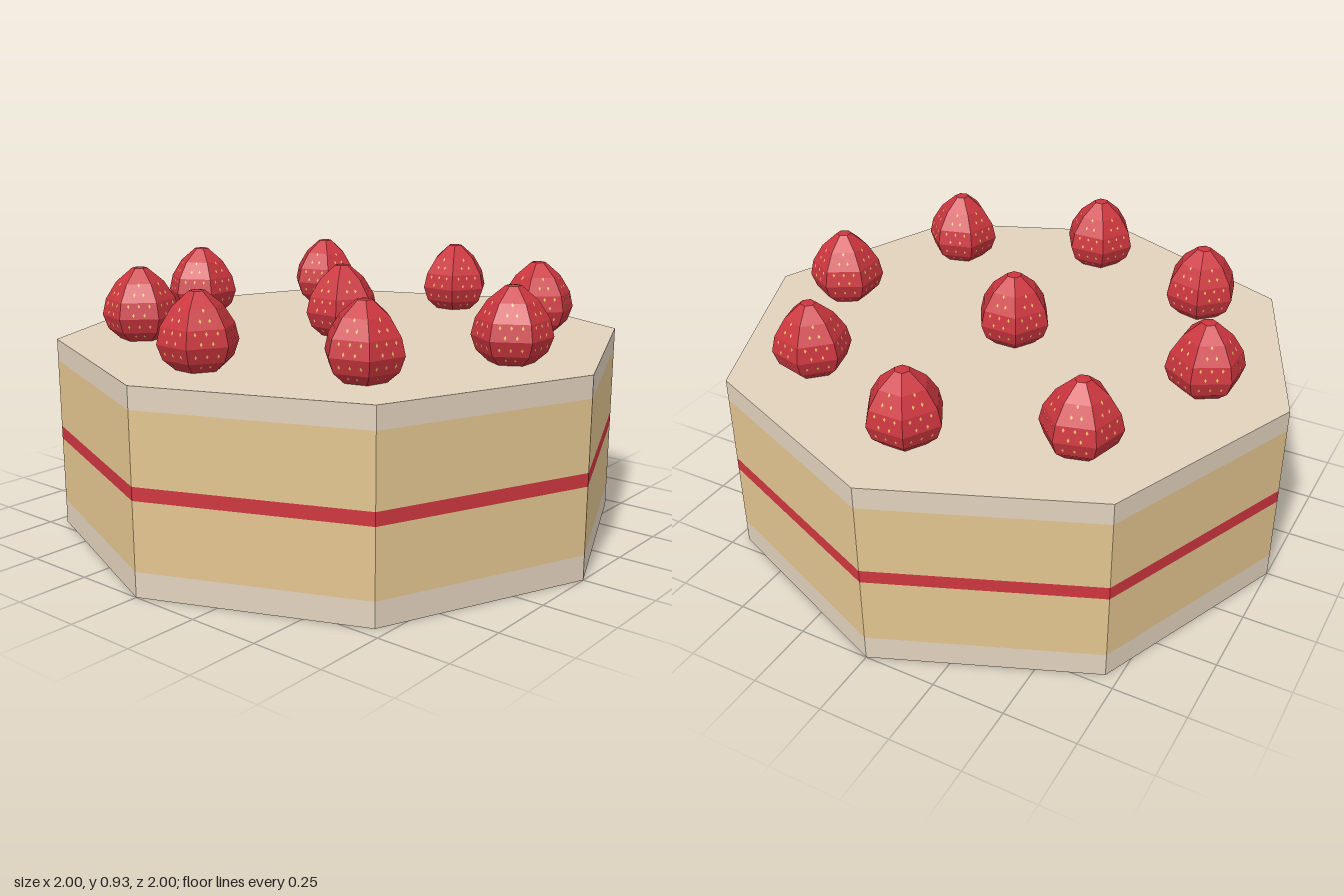
import * as THREE from 'three';
import { mergeGeometries } from 'three/addons/utils/BufferGeometryUtils.js';

const material = (name, color, flatShading = true) => {
  const m = new THREE.MeshStandardMaterial({ color, flatShading });
  m.name = name;
  return m;
};

// Berry outline: radius, height above the cake top
const PROFILE = [[0.075, 0], [0.115, 0.035], [0.133, 0.085], [0.12, 0.14], [0.082, 0.2], [0.026, 0.247], [0, 0.25]];
const SIDES = 6;

// Radius and slope of the outline at a height
function outlineAt(y) {
  const i = PROFILE.findIndex((p, k) => k > 0 && y <= p[1]);
  const [r0, y0] = PROFILE[i - 1], [r1, y1] = PROFILE[i];
  return { r: THREE.MathUtils.lerp(r0, r1, (y - y0) / (y1 - y0)), slope: (r1 - r0) / (y1 - y0) };
}

// Small diamond seeds in staggered rows on each facet
function seedGeometry() {
  const seeds = [];
  const rows = [[0.022, 2], [0.058, 3], [0.098, 2], [0.128, 3], [0.165, 2], [0.195, 1]];
  const apothem = Math.cos(Math.PI / SIDES);
  for (let side = 0; side < SIDES; side++) {
    for (const [y, count] of rows) {
      const { r, slope } = outlineAt(y);
      for (let k = 0; k < count; k++) {
        const u = (k - (count - 1) / 2) * r * 0.29;
        const g = new THREE.CircleGeometry(0.0055, 4);
        g.scale(0.8, 1.35, 1);
        g.translate(0, 0, 0.0015);
        g.rotateX(Math.atan(slope * apothem));
        g.translate(u, y, r * apothem);
        g.rotateY((side + 0.5) * Math.PI * 2 / SIDES);
        seeds.push(g);
      }
    }
  }
  return mergeGeometries(seeds);
}

export function createModel() {
  const cake = new THREE.Group();
  cake.name = 'cake';
  const cream = material('cream', 0xe2d2bd);
  const sponge = material('sponge', 0xe3c590);
  const jam = material('jam', 0xcf363f);
  const berryRed = material('berry red', 0xcb353e);
  const seedYellow = material('seed yellow', 0xe3bc62);

  const add = (parent, name, geometry, mat) => {
    const mesh = new THREE.Mesh(geometry, mat);
    mesh.name = name;
    parent.add(mesh);
    return mesh;
  };

  // Octagonal wall, stacked in layers
  const layers = [
    ['bottomCream', 0, 0.085, cream],
    ['lowerSponge', 0.085, 0.315, sponge],
    ['jamLayer', 0.315, 0.36, jam],
    ['upperSponge', 0.36, 0.6, sponge],
    ['topCream', 0.6, 0.675, cream],
  ];
  for (const [name, y0, y1, mat] of layers) {
    const wall = new THREE.CylinderGeometry(1, 1, y1 - y0, 8, 1, true);
    add(cake, name, wall, mat).position.y = (y0 + y1) / 2;
  }

  // Top icing and underside
  const top = add(cake, 'icing', new THREE.CircleGeometry(1, 8), cream);
  top.rotation.x = -Math.PI / 2;
  top.position.y = 0.675;
  add(cake, 'underside', new THREE.CircleGeometry(1, 8), cream).rotation.x = Math.PI / 2;

  // Strawberries: one in the middle and a ring of eight
  const body = new THREE.LatheGeometry(PROFILE.map(p => new THREE.Vector2(...p)), SIDES);
  const seeds = seedGeometry();
  const addBerry = (name, x, z, turn) => {
    const berry = new THREE.Group();
    berry.name = name;
    add(berry, 'berryBody', body, berryRed);
    add(berry, 'berrySeeds', seeds, seedYellow);
    berry.position.set(x, 0.675, z);
    berry.rotation.y = turn;
    cake.add(berry);
  };
  addBerry('centreStrawberry', 0, 0, Math.PI / 6);
  for (let i = 0; i < 8; i++) {
    const a = i * Math.PI / 4;
    addBerry('strawberry' + (i + 1), 0.705 * Math.cos(a), -0.705 * Math.sin(a), -a);
  }
  return cake;
}
